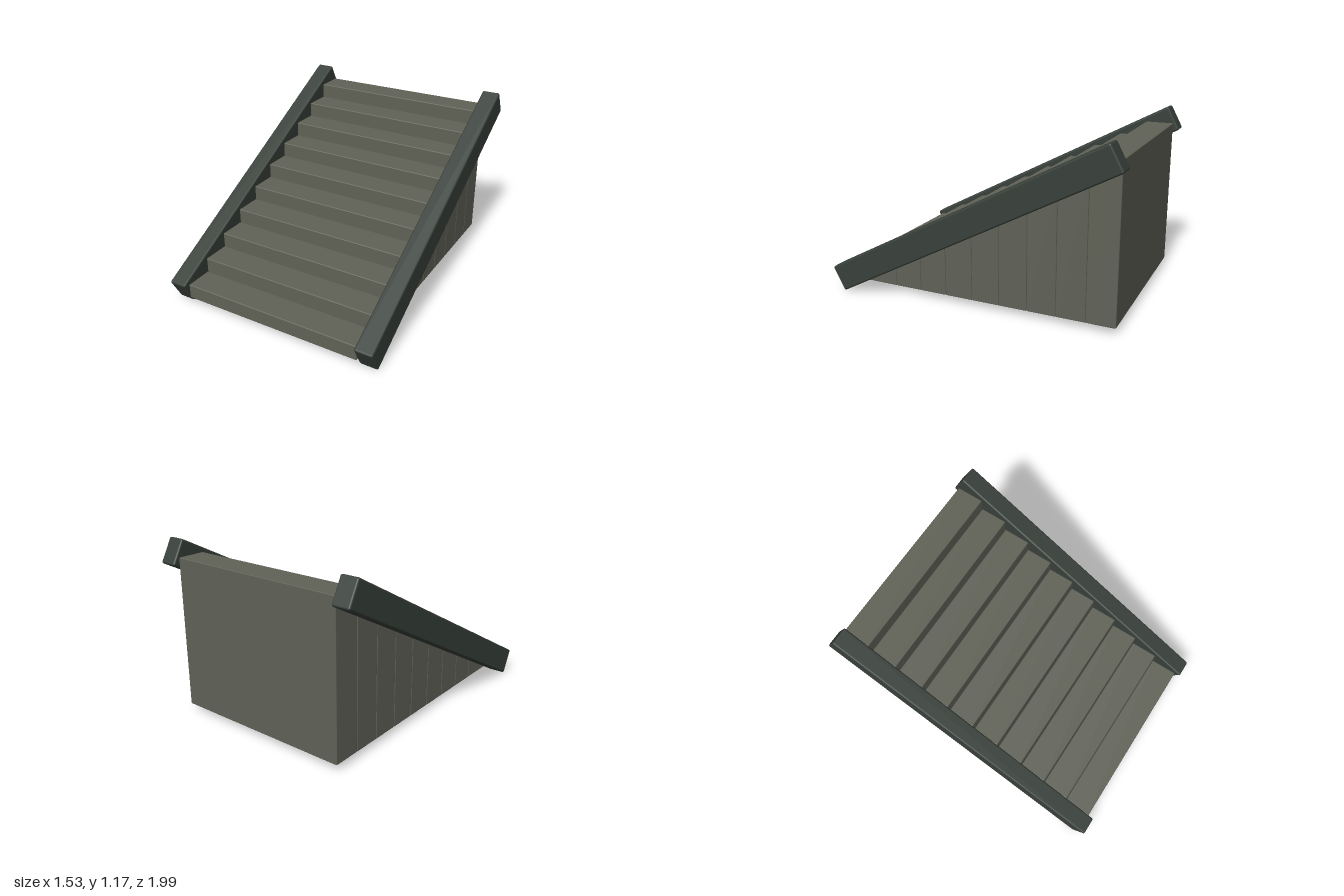
import * as THREE from 'three';
import { RoundedBoxGeometry } from 'three/addons/geometries/RoundedBoxGeometry.js';

export function createModel() {
  const stairs = new THREE.Group();
  stairs.name = 'staircase';

  const stepMaterial = new THREE.MeshStandardMaterial({ color: 0x606257 });
  stepMaterial.name = 'olive grey stone';
  const railMaterial = new THREE.MeshStandardMaterial({ color: 0x38403a });
  railMaterial.name = 'dark green grey';

  // Solid steps, each reaching down to the shared base
  const count = 10, base = 0.05, rise = 0.102, run = 0.1915;
  const steps = new THREE.Group();
  steps.name = 'steps';
  for (let i = 0; i < count; i++) {
    const height = rise * (i + 1);
    const step = new THREE.Mesh(new RoundedBoxGeometry(1.276, height, run, 2, 0.006), stepMaterial);
    step.name = `step${i + 1}`;
    step.position.set(0, base + height / 2, 0.957 - run * (i + 0.5));
    steps.add(step);
  }
  stairs.add(steps);

  // Sloping side beams, leaning down towards the front
  const slope = Math.atan2(1.02, 1.91);
  const railGeometry = new RoundedBoxGeometry(0.125, 0.18, 2.175, 2, 0.012);
  for (const side of [-1, 1]) {
    const rail = new THREE.Mesh(railGeometry, railMaterial);
    rail.name = side > 0 ? 'leftRail' : 'rightRail';
    rail.position.set(side * 0.702, 0.592, 0);
    rail.rotation.x = slope;
    stairs.add(rail);
  }

  return stairs;
}
